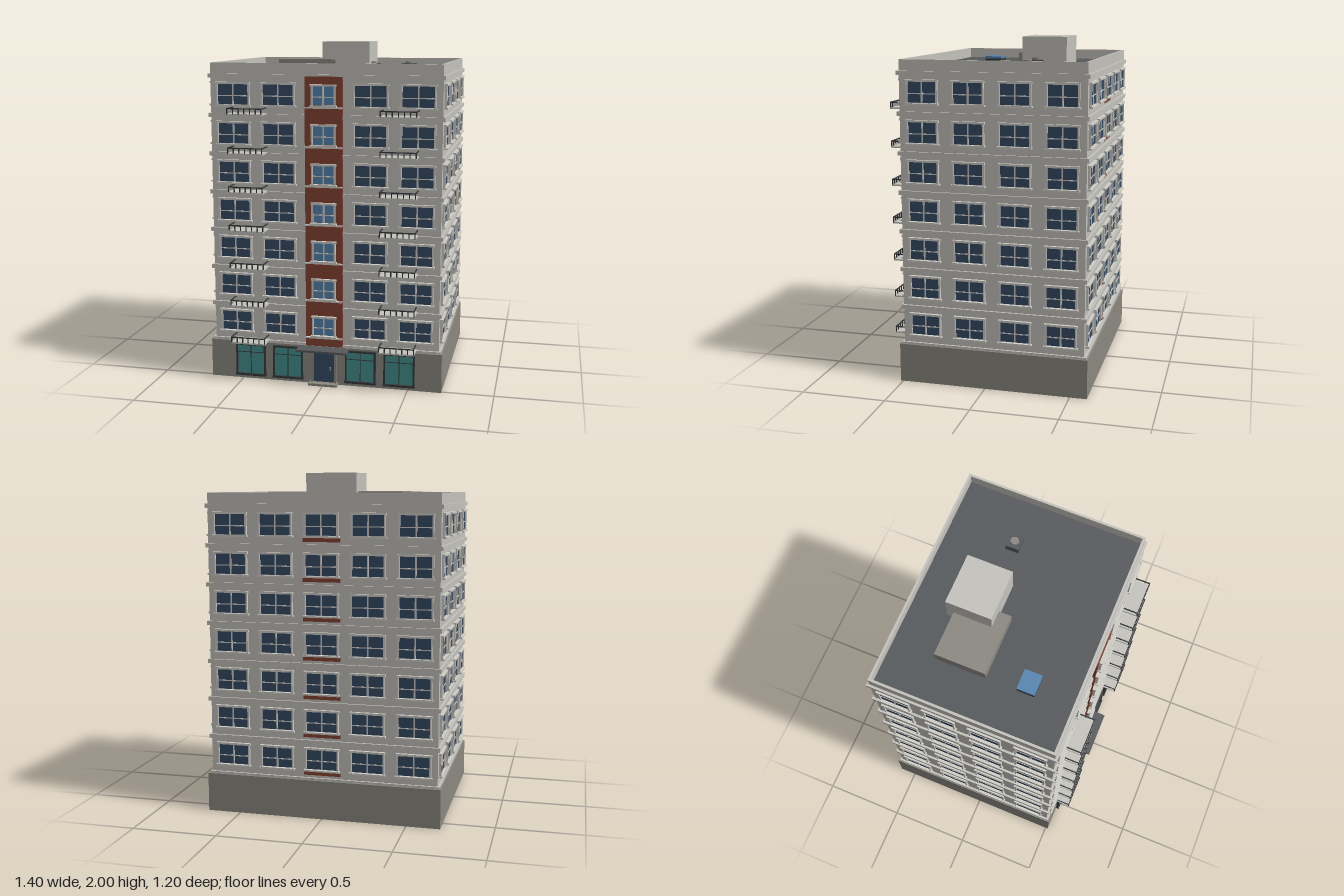
import * as THREE from 'three';

const mat = (name, color, side = THREE.FrontSide) => {
  const m = new THREE.MeshStandardMaterial({ color, side });
  m.name = name;
  return m;
};
const M = {
  wall: mat('paleWall', 0xc5c3bd),
  trim: mat('lightTrim', 0xd0cec7),
  stone: mat('greyStone', 0x8c8981),
  brick: mat('redBrick', 0x854230),
  glass: mat('darkGlass', 0x344a64),
  sky: mat('lightGlass', 0x5584b0),
  shop: mat('tealGlass', 0x43908d),
  roof: mat('roofGrey', 0x56595c),
  iron: mat('darkIron', 0x34373a),
};

const FLOORS = 7, PITCH = 0.226, BASE_TOP = 0.23, ZC = -0.042;
const HX = 0.677, HZ = 0.535; // half size of the upper walls
const unit = new THREE.BoxGeometry(1, 1, 1);

function box(parent, name, material, w, h, d, x, y, z) {
  const m = new THREE.Mesh(unit, material);
  m.name = name;
  m.scale.set(w, h, d);
  m.position.set(x, y, z);
  parent.add(m);
  return m;
}

function group(parent, name, x = 0, y = 0, z = 0, ry = 0) {
  const g = new THREE.Group();
  g.name = name;
  g.position.set(x, y, z);
  g.rotation.y = ry;
  parent.add(g);
  return g;
}

// Window facing local +z, with the wall surface at z = 0
function addWindow(parent, x, y, z, ry, w, h, glass, name = 'window') {
  const g = group(parent, name, x, y, z, ry);
  const t = 0.01, d = 0.014;
  box(g, 'pane', glass, w, h, 0.006, 0, 0, 0.002);
  for (const s of [-1, 1]) {
    box(g, 'jamb', M.trim, t, h + t, d, s * (w + t) / 2, 0, d / 2);
  }
  box(g, 'lintel', M.trim, w + 0.028, 0.012, 0.018, 0, h / 2 + 0.006, 0.009);
  box(g, 'sill', M.trim, w + 0.034, 0.01, 0.022, 0, -h / 2 - 0.007, 0.011);
  box(g, 'mullion', M.trim, 0.009, h, 0.008, 0, 0, 0.004);
  box(g, 'transom', M.trim, w, 0.006, 0.008, 0, -0.008, 0.004);
}

// Slab with an open iron railing on three sides; wall at z = 0
function addBalcony(parent, x, y, z) {
  const g = group(parent, 'balcony', x, y, z);
  const w = 0.208, d = 0.108, h = 0.034;
  box(g, 'slab', M.wall, w, 0.009, d, 0, 0, d / 2);
  box(g, 'frontRail', M.iron, w, 0.006, 0.006, 0, h, d - 0.003);
  for (const s of [-1, 1]) {
    box(g, 'sideRail', M.iron, 0.006, 0.006, d, s * (w / 2 - 0.003), h, d / 2);
  }
  for (let i = 0; i < 7; i++) {
    box(g, 'baluster', M.iron, 0.006, h, 0.006, (i / 6 - 0.5) * (w - 0.006), h / 2, d - 0.003);
  }
}

// Glazed shopfront with a dark frame
function addShopWindow(parent, x, z) {
  const g = group(parent, 'shopWindow', x, 0.121, z);
  const w = 0.165, h = 0.18;
  box(g, 'shopGlass', M.shop, w, h, 0.008, 0, 0, 0.002);
  for (const s of [-1, 1]) {
    box(g, 'frameSide', M.iron, 0.01, h + 0.016, 0.014, s * (w / 2 + 0.004), 0, 0.007);
  }
  box(g, 'frameTop', M.iron, w + 0.018, 0.01, 0.014, 0, h / 2 + 0.003, 0.007);
  box(g, 'frameSill', M.iron, w + 0.025, 0.012, 0.02, 0, -h / 2 - 0.004, 0.01);
  box(g, 'shopMullion', M.iron, 0.005, h, 0.009, 0, 0, 0.004);
  box(g, 'shopTransom', M.iron, w, 0.004, 0.009, 0, 0.045, 0.004);
}

export function createModel() {
  const root = new THREE.Group();
  root.name = 'apartmentBlock';
  const front = ZC + HZ, back = ZC - HZ, baseFront = 0.516;
  const roofY = 1.815, top = 1.888;

  // Ground floor and upper walls
  box(root, 'groundFloor', M.stone, 1.396, BASE_TOP, 1.116, 0, BASE_TOP / 2, ZC);
  box(root, 'upperWalls', M.wall, 2 * HX, roofY - 0.01 - BASE_TOP, 2 * HZ, 0, (roofY - 0.01 + BASE_TOP) / 2, ZC);

  // Floor bands
  for (let i = 0; i <= FLOORS; i++) {
    box(root, 'floorBand', M.wall, 2 * HX + 0.026, 0.024, 2 * HZ + 0.026, 0, BASE_TOP + i * PITCH, ZC)
      .scale.y = i === FLOORS ? 0.018 : 0.024;
  }

  // Parapet and roof deck
  const t = 0.014, pb = 1.8;
  for (const s of [-1, 1]) {
    box(root, 'parapetSide', M.wall, t, top - pb, 2 * HZ, s * (HX - t / 2), (top + pb) / 2, ZC);
    box(root, 'parapetEnd', M.wall, 2 * HX - 2 * t, top - pb, t, 0, (top + pb) / 2, ZC + s * (HZ - t / 2));
  }
  box(root, 'roofDeck', M.roof, 2 * (HX - t), 0.02, 2 * (HZ - t), 0, 1.817, ZC);
  for (const s of [-1, 1]) {
    box(root, 'corniceSide', M.wall, 0.014, 0.024, 2 * HZ + 0.026, s * (HX + 0.006), 1.813, ZC);
    box(root, 'corniceEnd', M.wall, 2 * HX, 0.024, 0.014, 0, 1.813, ZC + s * (HZ + 0.006));
  }

  // Brick strip up the middle of the front
  box(root, 'brickStrip', M.brick, 0.22, 1.585, 0.04, 0, 1.0225, 0.492);

  // Windows, sills and balconies on each floor
  for (let i = 0; i < FLOORS; i++) {
    const y = 0.352 + i * PITCH;
    for (let c = -2; c <= 2; c++) {
      const x = c * 0.27;
      addWindow(root, x, y, back, Math.PI, 0.18, 0.117, M.glass);
      if (c !== 0) addWindow(root, x, y, front, 0, 0.18, 0.117, M.glass);
    }
    for (let c = 0; c < 4; c++) {
      const z = ZC + (c - 1.5) * 0.267;
      for (const s of [-1, 1]) addWindow(root, s * HX, y, z, s * Math.PI / 2, 0.165, 0.117, M.glass);
    }
    addWindow(root, 0, y, 0.512, 0, 0.122, 0.105, M.sky, 'stairWindow');
    box(root, 'stairLedge', M.trim, 0.22, 0.008, 0.016, 0, y - 0.069, 0.518);
    box(root, 'rearBrickPanel', M.brick, 0.22, 0.022, 0.006, 0, y - 0.084, back);
    for (const s of [-1, 1]) addBalcony(root, s * 0.443, 0.243 + i * PITCH, front);
  }

  // Shopfronts
  for (const x of [-0.45, -0.22, 0.22, 0.45]) addShopWindow(root, x, baseFront);

  // Entrance
  const e = group(root, 'entrance', 0, 0, baseFront);
  box(e, 'door', M.glass, 0.128, 0.19, 0.012, 0, 0.107, 0.002);
  for (const s of [-1, 1]) box(e, 'doorJamb', M.stone, 0.012, 0.2, 0.018, s * 0.07, 0.112, 0.009);
  box(e, 'doorHead', M.stone, 0.152, 0.012, 0.018, 0, 0.207, 0.009);
  box(e, 'doorHandle', M.stone, 0.006, 0.022, 0.012, 0.04, 0.1, 0.012);
  box(e, 'doorStep', M.stone, 0.172, 0.014, 0.05, 0, 0.007, 0.025);
  box(e, 'canopy', M.roof, 0.304, 0.012, 0.082, 0, 0.221, 0.041);

  // Rooftop structures
  box(root, 'stairHouse', M.wall, 0.3, 0.185, 0.266, 0, 1.9075, -0.221);
  box(root, 'plantRoom', M.stone, 0.36, 0.07, 0.297, -0.23, 1.859, -0.164);
  box(root, 'skylightFrame', M.iron, 0.12, 0.016, 0.104, -0.348, 1.834, 0.214);
  box(root, 'skylightGlass', M.sky, 0.12, 0.014, 0.104, -0.348, 1.849, 0.214);
  const fan = new THREE.CylinderGeometry(0.025, 0.025, 0.012, 8);
  for (const x of [0.155, 0.385]) {
    box(root, 'ventBox', M.roof, 0.085, 0.042, 0.08, x, 1.846, -0.176);
    const f = new THREE.Mesh(fan, M.stone);
    f.name = 'ventCap';
    f.position.set(x, 1.872, -0.176);
    root.add(f);
  }
  return root;
}
